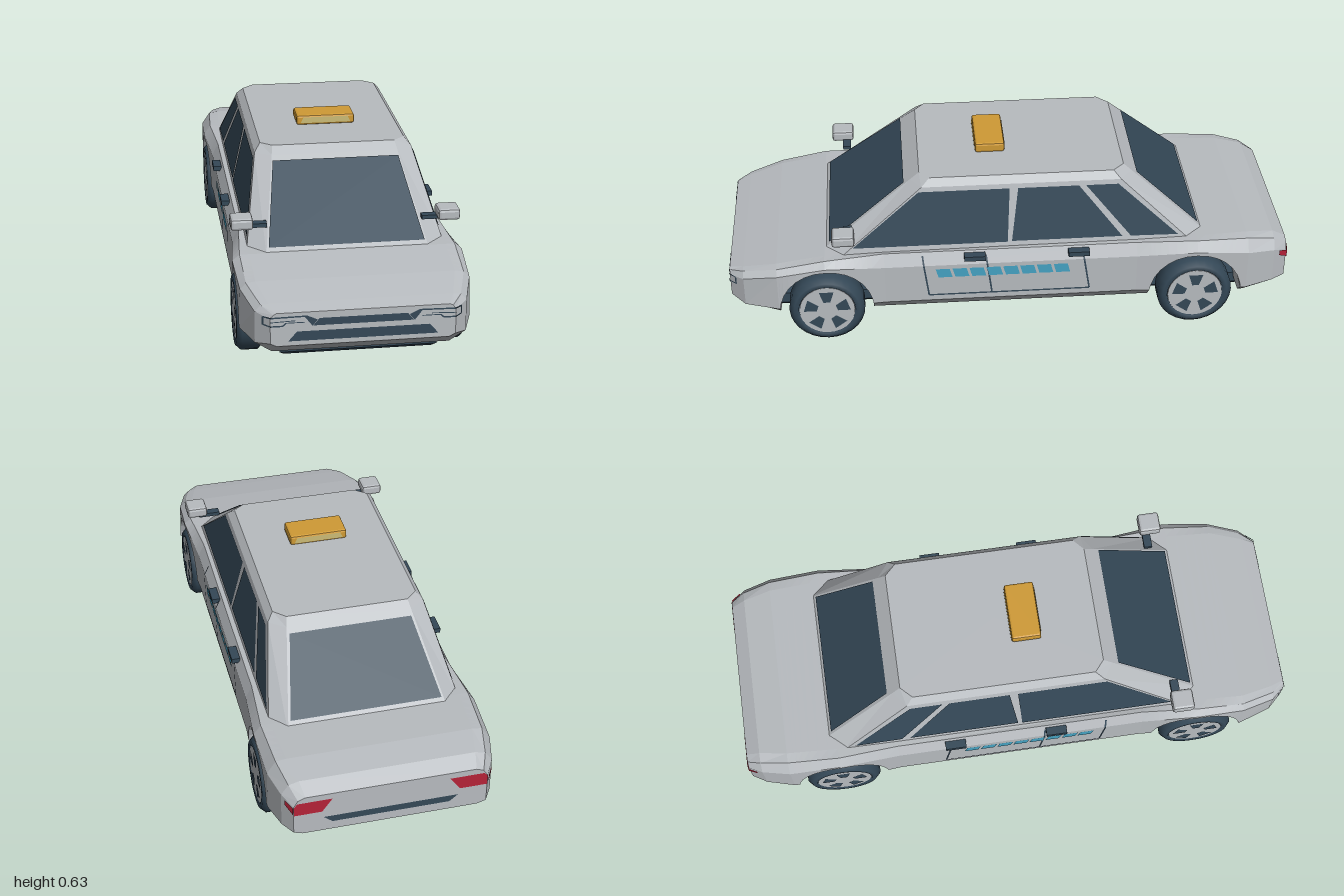
import * as THREE from 'three';
import { RoundedBoxGeometry } from 'three/addons/geometries/RoundedBoxGeometry.js';

const mat = (name, color, side = THREE.FrontSide) => {
  const m = new THREE.MeshStandardMaterial({ color, side });
  m.name = name;
  return m;
};

export function createModel() {
  const car = new THREE.Group();
  car.name = 'sedan';
  const silver = mat('silver', 0xb7bbbf, THREE.DoubleSide);
  const dark = mat('darkBlue', 0x344857, THREE.DoubleSide);
  const blue = mat('stripeBlue', 0x45a2c2, THREE.DoubleSide);
  const amber = mat('amber', 0xcf9a35);
  const pale = mat('paleAmber', 0xcbbb76, THREE.DoubleSide);
  const red = mat('tailRed', 0xb52238, THREE.DoubleSide);

  const add = (name, geo, material, parent = car) => {
    const m = new THREE.Mesh(geo, material);
    m.name = name;
    parent.add(m);
    return m;
  };
  const flat = (pos) => {
    const g = new THREE.BufferGeometry();
    g.setAttribute('position', new THREE.Float32BufferAttribute(pos, 3));
    g.computeVertexNormals();
    return g;
  };
  // Faceted skin through closed rings of [x, y, z], capped at both ends
  const loft = (rings) => {
    const pos = [];
    const tri = (...p) => p.forEach((q) => pos.push(...q));
    const n = rings[0].length;
    const centre = (r) => [0, 1, 2].map((k) => r.reduce((s, p) => s + p[k], 0) / n);
    const first = rings[0], last = rings[rings.length - 1];
    for (let i = 0; i < n; i++) {
      const j = (i + 1) % n;
      for (let s = 0; s < rings.length - 1; s++) {
        const F = rings[s], B = rings[s + 1];
        tri(F[i], B[i], B[j]);
        tri(F[i], B[j], F[j]);
      }
      tri(centre(first), first[i], first[j]);
      tri(centre(last), last[j], last[i]);
    }
    return flat(pos);
  };
  const mirrored = (half) => [...half, ...half.slice().reverse().map(([x, y, z]) => [-x, y, z])];
  // Thin polygon: 2D outline placed on a surface by a mapping
  const plate = (name, pts, map, material) => {
    const p = pts.map(([u, v]) => map(u, v));
    const pos = [];
    for (let i = 1; i < p.length - 1; i++) pos.push(...p[0], ...p[i], ...p[i + 1]);
    return add(name, flat(pos), material);
  };
  const line = (name, a, b, w, map, material) => {
    const len = Math.hypot(b[0] - a[0], b[1] - a[1]);
    const dx = (-(b[1] - a[1]) / len) * w / 2, dy = ((b[0] - a[0]) / len) * w / 2;
    return plate(name, [[a[0] + dx, a[1] + dy], [b[0] + dx, b[1] + dy],
      [b[0] - dx, b[1] - dy], [a[0] - dx, a[1] - dy]], map, material);
  };

  // Lower body: z, then (x, y) of deck edge, shoulder, upper side, lower side, sill
  const keys = [
    [1.00, .28, .27, .29, .265, .30, .25, .30, .165, .28, .155],
    [0.95, .30, .283, .325, .28, .345, .26, .345, .15, .29, .115],
    [0.83, .33, .31, .36, .305, .38, .285, .385, .15, .34, .11],
    [0.66, .33, .335, .365, .335, .39, .315, .39, .15, .34, .11],
    [0.45, .33, .34, .35, .345, .373, .30, .373, .15, .34, .11],
    [-0.45, .33, .345, .35, .345, .373, .30, .373, .15, .34, .11],
    [-0.665, .33, .35, .365, .35, .39, .315, .39, .15, .34, .11],
    [-0.85, .32, .35, .355, .345, .385, .30, .385, .15, .34, .11],
    [-0.95, .30, .335, .335, .325, .36, .29, .36, .16, .30, .115],
    [-1.00, .29, .305, .315, .295, .33, .27, .33, .16, .30, .15],
  ];
  const wheelZ = [0.66, -0.665], axleY = .135, archR = .166;
  const section = (z, floor) => {
    let i = 0;
    while (i < keys.length - 2 && z < keys[i + 1][0]) i++;
    const A = keys[i], B = keys[i + 1], t = (A[0] - z) / (A[0] - B[0]);
    const v = A.map((a, k) => a + (B[k] - a) * t);
    const half = [[v[9], Math.max(v[10], floor), z], [v[7], Math.max(v[8], floor), z],
      [v[5], v[6], z], [v[3], v[4], z], [v[1], v[2], z]];
    return mirrored(half);
  };
  const stations = keys.filter((k) => wheelZ.every((w) => Math.abs(k[0] - w) > archR)).map((k) => [k[0], 0]);
  for (const w of wheelZ) {
    stations.push([w + archR, 0]);
    for (let i = 0; i <= 14; i++) {
      const a = (i / 14) * Math.PI;
      stations.push([w + Math.cos(a) * archR, axleY + Math.sin(a) * archR]);
    }
    stations.push([w - archR, 0]);
  }
  stations.sort((a, b) => b[0] - a[0]);
  // Keep the closed section outside each arch opening
  for (let i = 0; i < stations.length - 1; i++) {
    const [p, q] = [stations[i], stations[i + 1]];
    if (Math.abs(p[0] - q[0]) < 1e-6) {
      const entering = wheelZ.some((w) => Math.abs(p[0] - w - archR) < 1e-4);
      const pair = [p, q].sort((a, b) => a[1] - b[1]);
      [stations[i], stations[i + 1]] = entering ? pair : pair.reverse();
    }
  }
  add('lowerBody', loft(stations.map(([z, f]) => section(z, f))), silver);

  // Cabin: rings from roof to belt line
  const cabin = [
    [.595, [.215, .315], [.255, .28], [.255, -.37], [.215, -.41]],
    [.57, [.221, .3475], [.277, .31], [.277, -.395], [.221, -.4386]],
    [.33, [.275, .66], [.335, .60], [.335, -.65], [.28, -.713]],
  ];
  add('cabin', loft(cabin.map(([y, ...h]) => mirrored(h.map(([x, z]) => [x, y, z])))), silver);

  // Windscreen and rear window
  const trapezoid = (bottom, top, y0, y1) => [[-bottom, y0], [bottom, y0], [top, y1], [-top, y1]];
  plate('windscreen', trapezoid(.265, .22, .345, .555),
    (x, y) => [x, y + .003, .315 + (.595 - y) * 1.302 + .003], dark);
  plate('rearWindow', trapezoid(.265, .215, .36, .555),
    (x, y) => [x, y + .003, -.41 - (.595 - y) * 1.143 - .003], dark);

  const front = (x, y) => [x, y, 1.003 - Math.max(0, Math.abs(x) - .30) * 1.1];
  const back = (x, y) => [x, y, -1.003];

  for (const s of [1, -1]) {
    const side = s > 0 ? 'left' : 'right';
    // Side glass
    const glass = (z, y) => [s * (.280 + (.57 - y) * .2417), y, z];
    plate(side + 'FrontWindow', [[.56, .36], [.32, .555], [0, .555], [.01, .36]], glass, dark);
    plate(side + 'RearWindow', [[-.005, .362], [-.03, .555], [-.245, .555], [-.40, .362]], glass, dark);
    plate(side + 'QuarterWindow', [[-.43, .362], [-.27, .555], [-.385, .555], [-.60, .36]], glass, dark);

    // Door seams, bent at the shoulder
    const door = (z, y) => [s * (.376 - Math.max(0, y - .3) * .51), y, z];
    for (const [top, bend, low, yTop] of [[.315, .311, .295, .335], [.09, .086, .07, .33], [-.255, -.26, -.28, .33]]) {
      line(side + 'DoorSeam', [top, yTop], [bend, .30], .006, door, dark);
      line(side + 'DoorSeam', [bend, .30], [low, .175], .006, door, dark);
    }
    line(side + 'DoorSeam', [.295, .175], [-.28, .175], .006, door, dark);
    // Slanted stripe blocks
    for (let i = 0; i < 8; i++) {
      const z = .27 - i * .06;
      plate(side + 'Stripe', [[z, .286], [z - .05, .286], [z - .06, .25], [z - .01, .25]], door, blue);
    }
    for (const z of [.13, -.24]) {
      add(side + 'DoorHandle', new THREE.BoxGeometry(.03, .018, .075), dark).position.set(s * .371, .33, z);
    }
    // Door mirror
    const shell = new RoundedBoxGeometry(.076, .04, .08, 1, .01);
    shell.computeVertexNormals();
    add(side + 'Mirror', shell, silver).position.set(s * .352, .426, .59);
    add(side + 'MirrorStalk', new THREE.BoxGeometry(.08, .014, .03), dark).position.set(s * .305, .407, .575);

    // Headlamp outline with inner wedge
    const lamp = (a, b, w = .005) => line(side + 'Headlamp', [s * a[0], a[1]], [s * b[0], b[1]], w, front, dark);
    lamp([.18, .257], [.30, .255]);
    lamp([.30, .255], [.322, .253]);
    lamp([.322, .253], [.322, .225]);
    lamp([.322, .226], [.30, .226]);
    lamp([.30, .226], [.26, .226]);
    lamp([.26, .226], [.25, .236]);
    lamp([.25, .236], [.19, .236], .003);
    lamp([.30, .24], [.22, .243], .003);
    plate(side + 'Headlamp', [[s * .192, .258], [s * .165, .222], [s * .148, .243], [s * .18, .258]], front, dark);

    // Tail lamp, wrapped round the corner
    plate(side + 'TailLamp', [[.20, .285], [.318, .285], [.33, .27], [.33, .235], [.235, .235]]
      .map(([x, y]) => [s * x, y]), back, red);
    plate(side + 'TailLampCorner', [[0, .27], [1, .282], [1, .262], [0, .242]],
      (u, y) => [s * (.333 + .02 * u), y, -1.003 + .033 * u], red);
  }

  // Grilles and rear trim
  plate('upperGrille', trapezoid(.163, .142, .223, .248), front, dark);
  plate('lowerGrille', trapezoid(.243, .215, .172, .205), front, dark);
  plate('rearTrim', trapezoid(.20, .23, .185, .21), back, dark);

  // Underbody
  const pan = [[.069, .245, .88], [.085, .26, .90], [.125, .26, .90]].reverse()
    .map(([y, x, z]) => mirrored([[x, y, z], [x, y, -z - .01]]));
  add('underbody', loft(pan), dark);

  // Wheels
  const profile = [[0, -.047], [.10, -.047], [.118, -.045], [.135, -.028], [.135, .028],
    [.118, .046], [.102, .046], [.10, .038], [0, .038]].map(([r, y]) => new THREE.Vector2(r, y));
  const tyre = new THREE.LatheGeometry(profile, 28).rotateZ(-Math.PI / 2);
  const rim = new THREE.CylinderGeometry(.099, .099, .006, 28).rotateZ(-Math.PI / 2);
  const gap = new THREE.Shape([[-.012, .036], [.012, .036], [.026, .080], [-.026, .080]]
    .map(([x, y]) => new THREE.Vector2(x, y)));
  for (const s of [1, -1]) for (const z of wheelZ) {
    const wheel = new THREE.Group();
    wheel.name = (z > 0 ? 'front' : 'rear') + (s > 0 ? 'Left' : 'Right') + 'Wheel';
    add('tyre', tyre, dark, wheel);
    add('rim', rim, silver, wheel).position.x = .040;
    for (let i = 0; i < 5; i++) {
      const g = new THREE.ShapeGeometry(gap).rotateZ((i / 5) * Math.PI * 2).rotateY(Math.PI / 2);
      add('spokeGap', g, dark, wheel).position.x = .0455;
    }
    wheel.position.set(s * .343, axleY, z);
    wheel.rotation.y = s > 0 ? 0 : Math.PI;
    car.add(wheel);
  }

  // Roof sign with pale panels
  const sign = new RoundedBoxGeometry(.21, .036, .106, 1, .008);
  sign.computeVertexNormals();
  add('roofSign', sign, amber).position.set(0, .613, .057);
  for (const z of [.1115, .0025]) {
    plate('signPanel', trapezoid(.09, .08, .603, .624), (x, y) => [x, y, z], pale);
  }
  return car;
}
